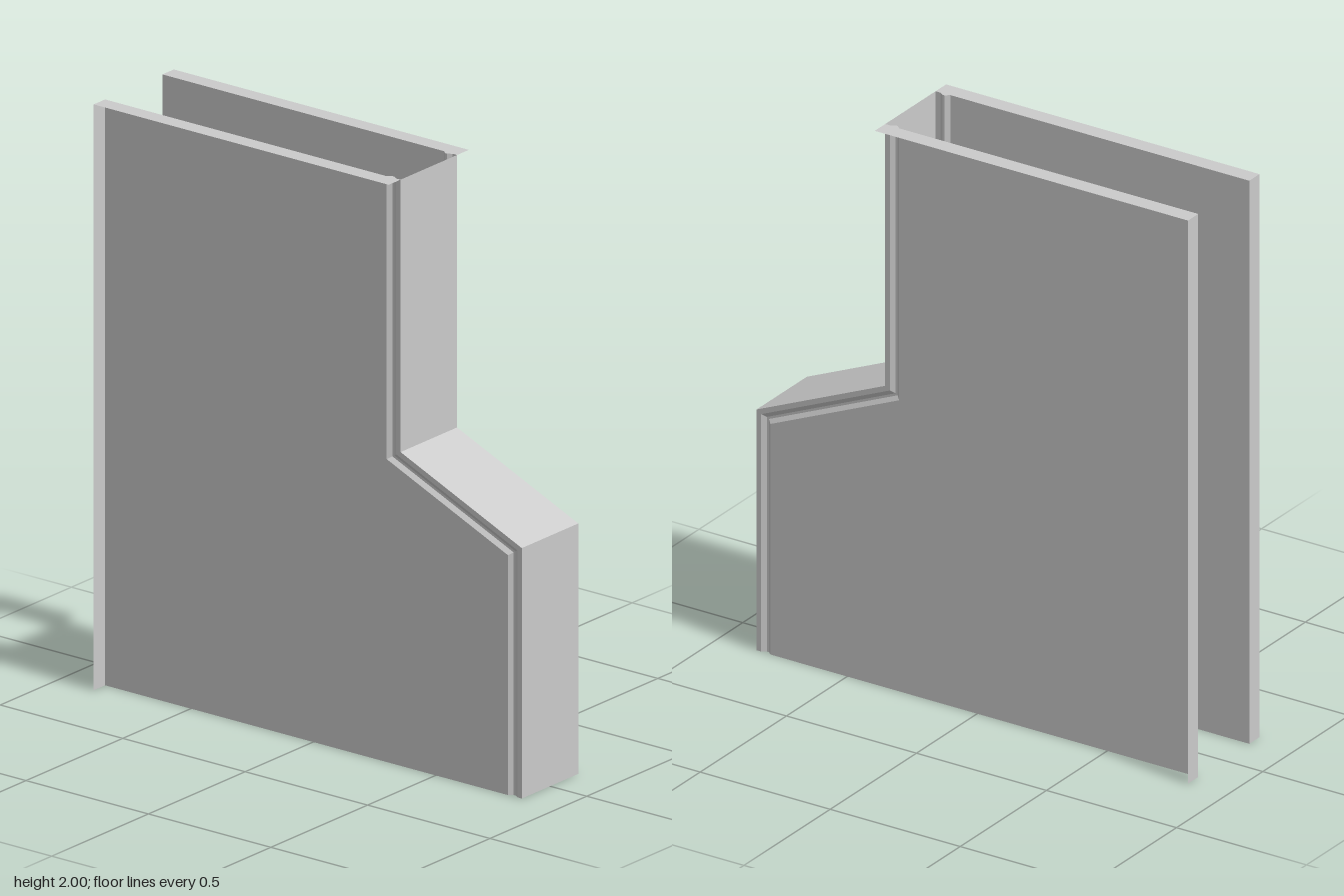
import * as THREE from 'three';

const material = new THREE.MeshStandardMaterial({ color: 0xcccccc, flatShading: true, side: THREE.DoubleSide });

const HEIGHT = 2, BACK_X = -0.85, FLANGE_Z = 0.207;
// Stepped edge of the panel, from top to bottom
const EDGE = [[0.355, HEIGHT], [0.355, 1.07], [0.85, 0.855], [0.85, 0]];
// Pressed groove along that edge: [inset from edge, z]
const GROOVE = [[0.055, 0.148], [0.041, 0.136], [0.033, 0.136], [0.018, 0.146], [0, 0.146]];
const WALL_Z = GROOVE[0][1];

// Stepped edge moved inward with mitred corners
function insetEdge(d) {
  const [, a, b] = EDGE;
  const dx = b[0] - a[0], dy = b[1] - a[1], len = Math.hypot(dx, dy);
  const nx = dy / len, ny = -dx / len;
  const drop = d * (1 + nx) / ny;
  return EDGE.map(([x, y], i) => [x - d, i === 1 || i === 2 ? y + drop : y]);
}

// Folded sheet: sweeps a [inset, z] profile along the stepped edge
function edgeSheet(profile) {
  const positions = [], index = [], n = EDGE.length;
  profile.forEach(([d, z]) => insetEdge(d).forEach(([x, y]) => positions.push(x, y, z)));
  for (let r = 0; r < profile.length - 1; r++) {
    for (let c = 0; c < n - 1; c++) {
      const p = r * n + c;
      index.push(p, p + n, p + 1, p + 1, p + n, p + n + 1);
    }
  }
  let g = new THREE.BufferGeometry();
  g.setAttribute('position', new THREE.Float32BufferAttribute(positions, 3));
  g.setIndex(index);
  g = g.toNonIndexed();
  g.computeVertexNormals();
  return g;
}

function flatSheet(points) {
  return new THREE.ShapeGeometry(new THREE.Shape(points.map(([x, y]) => new THREE.Vector2(x, y))));
}

function part(name, geometry, parent) {
  const mesh = new THREE.Mesh(geometry, material);
  mesh.name = name;
  parent.add(mesh);
  return mesh;
}

function createSide(name) {
  const side = new THREE.Group();
  side.name = name;

  // Flat wall up to the groove
  const outline = [[BACK_X, 0], [BACK_X, HEIGHT], ...insetEdge(GROOVE[0][0])];
  part('wall', flatSheet(outline), side).position.z = WALL_Z;

  part('edgeGroove', edgeSheet(GROOVE), side);

  // Outward flange along the top, following the groove
  const top = [[BACK_X, WALL_Z], ...GROOVE.map(([d, z]) => [EDGE[0][0] - d, z]),
    [EDGE[0][0], FLANGE_Z], [BACK_X, FLANGE_Z]];
  const topFlange = part('topFlange', flatSheet(top).rotateX(Math.PI / 2), side);
  topFlange.position.y = HEIGHT;

  // Outward flange down the open end
  const endFlange = part('endFlange', new THREE.PlaneGeometry(FLANGE_Z - WALL_Z, HEIGHT).rotateY(-Math.PI / 2), side);
  endFlange.position.set(BACK_X, HEIGHT / 2, (FLANGE_Z + WALL_Z) / 2);
  return side;
}

export function createModel() {
  const model = new THREE.Group();
  model.name = 'steppedCasing';

  const front = createSide('frontSide');
  const back = createSide('backSide');
  back.scale.z = -1;
  model.add(front, back);

  // Stepped band joining the two sides
  const z = GROOVE[GROOVE.length - 1][1];
  part('edgeBand', edgeSheet([[0, z], [0, -z]]), model);
  return model;
}
